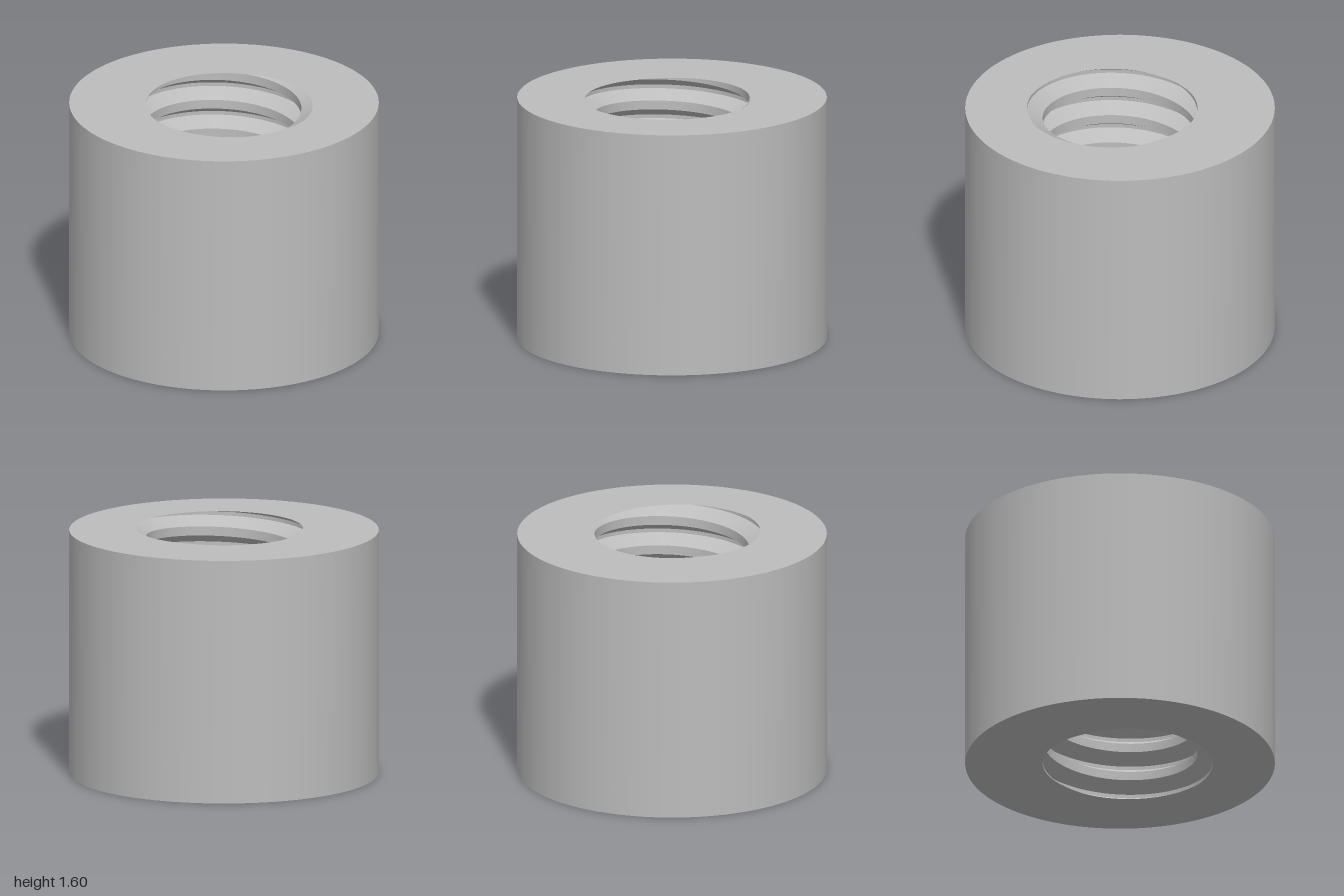
import * as THREE from 'three';
import { toCreasedNormals } from 'three/addons/utils/BufferGeometryUtils.js';

const HEIGHT = 1.6, OUTER = 1, MINOR = 0.5, MAJOR = 0.6;
const PITCH = 0.2, ROOT = PITCH / 16, FLANK = 0.0577; // ROOT is half the root flat
const SEGMENTS = 128;

// Bore radius at a height, for a right-handed thread turned by phi
function boreRadius(y, phi) {
  const s = y - HEIGHT + (PITCH * phi) / (2 * Math.PI);
  const d = Math.abs(s - PITCH * Math.round(s / PITCH));
  const t = THREE.MathUtils.clamp((d - ROOT) / FLANK, 0, 1);
  return MAJOR + (MINOR - MAJOR) * t;
}

// Closed cross-section: up the threaded bore, over the top, down the outside
function crossSection(phi) {
  const lead = (PITCH * phi) / (2 * Math.PI);
  const turns = Math.round(HEIGHT / PITCH) + 1;
  const heights = [0];
  for (let n = -1; n <= turns; n++) {
    for (const offset of [-ROOT - FLANK, -ROOT, ROOT, ROOT + FLANK]) {
      heights.push(THREE.MathUtils.clamp(n * PITCH + offset - lead, 0, HEIGHT));
    }
  }
  heights.push(HEIGHT);
  const points = heights.map((y) => [boreRadius(y, phi), y]);
  points.push([OUTER, HEIGHT], [OUTER, 0], points[0]);
  return points.map(([r, y]) => new THREE.Vector3(r * Math.cos(phi), y, r * Math.sin(phi)));
}

// Sweep the cross-section once round, leaving out empty triangles
function threadedSleeve() {
  const columns = [];
  for (let i = 0; i <= SEGMENTS; i++) columns.push(crossSection((i / SEGMENTS) * 2 * Math.PI));
  const positions = [];
  const triangle = new THREE.Triangle();
  const add = (a, b, c) => {
    if (triangle.set(a, b, c).getArea() < 1e-9) return;
    for (const p of [a, b, c]) positions.push(p.x, p.y, p.z);
  };
  for (let i = 0; i < SEGMENTS; i++) {
    const p = columns[i], q = columns[i + 1];
    for (let k = 0; k < p.length - 1; k++) {
      add(p[k], q[k], q[k + 1]);
      add(p[k], q[k + 1], p[k + 1]);
    }
  }
  const geometry = new THREE.BufferGeometry();
  geometry.setAttribute('position', new THREE.Float32BufferAttribute(positions, 3));
  return toCreasedNormals(geometry, 0.35);
}

export function createModel() {
  const steel = new THREE.MeshStandardMaterial({ color: 0xbcbcbc });
  steel.name = 'steel grey';

  const sleeve = new THREE.Mesh(threadedSleeve(), steel);
  sleeve.name = 'threadedSleeve';

  const group = new THREE.Group();
  group.name = 'roundNut';
  group.add(sleeve);
  return group;
}
